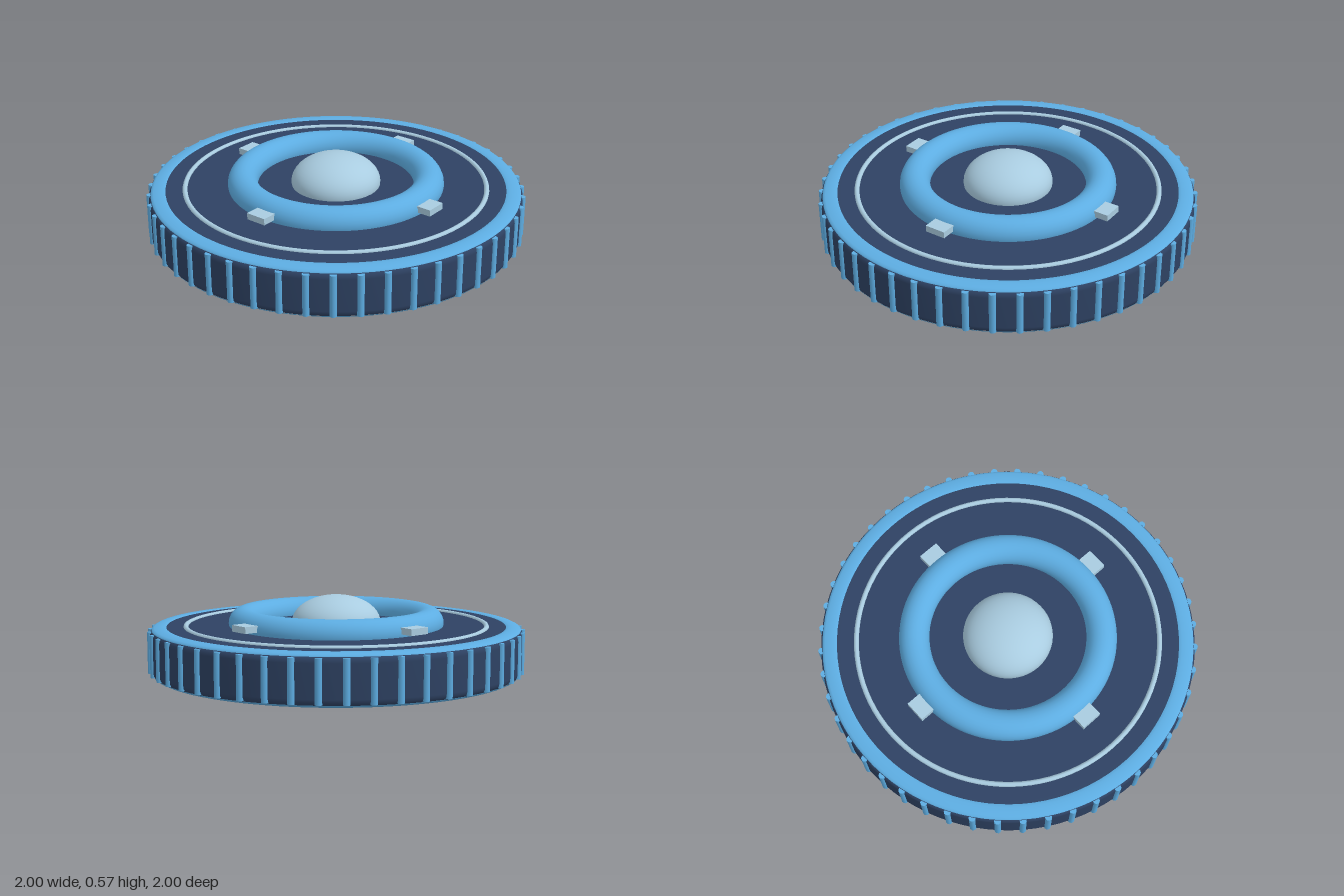
import * as THREE from 'three';

const MID = 0.285; // height of the disc's middle plane

const mat = (name, color) => new THREE.MeshStandardMaterial({ name, color });

export function createModel() {
  const navy = mat('navy', 0x2e4263);
  const blue = mat('sky blue', 0x5dade2);
  const pale = mat('pale blue', 0xa9cce0);

  const root = new THREE.Group();
  root.name = 'disc';
  root.position.y = MID;
  const model = new THREE.Group();
  model.name = 'model';
  model.add(root);

  const add = (parent, name, geometry, material, y = 0) => {
    const mesh = new THREE.Mesh(geometry, material);
    mesh.name = name;
    mesh.position.y = y;
    parent.add(mesh);
    return mesh;
  };
  const lathe = (pts) => new THREE.LatheGeometry(pts.map(([x, y]) => new THREE.Vector2(x, y)), 96);
  const ring = (radius, tube, sides) =>
    new THREE.TorusGeometry(radius, tube, sides, 96).rotateX(Math.PI / 2);

  // Main disc with softly rounded edges, symmetric about its middle plane
  const upper = [[0.987, 0.085], [0.985, 0.1], [0.977, 0.113], [0.962, 0.121],
    [0.935, 0.125], [0.9, 0.126], [0.88, 0.126], [0, 0.126]];
  const lower = upper.map(([x, y]) => [x, -y]).reverse();
  add(root, 'body', lathe([...lower, ...upper]), navy);

  // Grip ribs around the edge
  const ribs = new THREE.Group();
  ribs.name = 'gripRibs';
  root.add(ribs);
  const ribGeometry = new THREE.CylinderGeometry(0.018, 0.018, 0.22, 10);
  for (let i = 0; i < 48; i++) {
    const a = (i / 48) * Math.PI * 2;
    const rib = add(ribs, 'rib', ribGeometry, blue);
    rib.position.set(Math.sin(a) * 0.982, 0, Math.cos(a) * 0.982);
  }

  // Both faces carry the same fittings
  const clipGeometry = new THREE.BoxGeometry(0.112, 0.034, 0.09);
  for (const side of ['top', 'bottom']) {
    const face = new THREE.Group();
    face.name = side + 'Face';
    if (side === 'bottom') face.rotation.x = Math.PI;
    root.add(face);

    // Coloured band near the edge
    add(face, 'rimBand', lathe([[0.977, 0.114], [0.974, 0.12], [0.962, 0.126],
      [0.935, 0.13], [0.915, 0.13], [0.9, 0.128], [0.898, 0.124]]), blue);
    add(face, 'thinRing', ring(0.797, 0.014, 8), pale, 0.124);
    add(face, 'raisedRing', ring(0.492, 0.08, 24), blue, 0.14);

    // Centre dome
    const dome = add(face, 'dome', new THREE.SphereGeometry(0.236, 48, 24), pale, 0.14);
    dome.scale.y = 0.145 / 0.236;

    // Four clips on the diagonals, tucked against the raised ring
    for (let i = 0; i < 4; i++) {
      const a = Math.PI / 4 + (i * Math.PI) / 2;
      const clip = add(face, 'clip', clipGeometry, pale);
      clip.position.set(Math.sin(a) * 0.595, 0.158, Math.cos(a) * 0.595);
      clip.rotation.y = a;
    }
  }
  return model;
}
